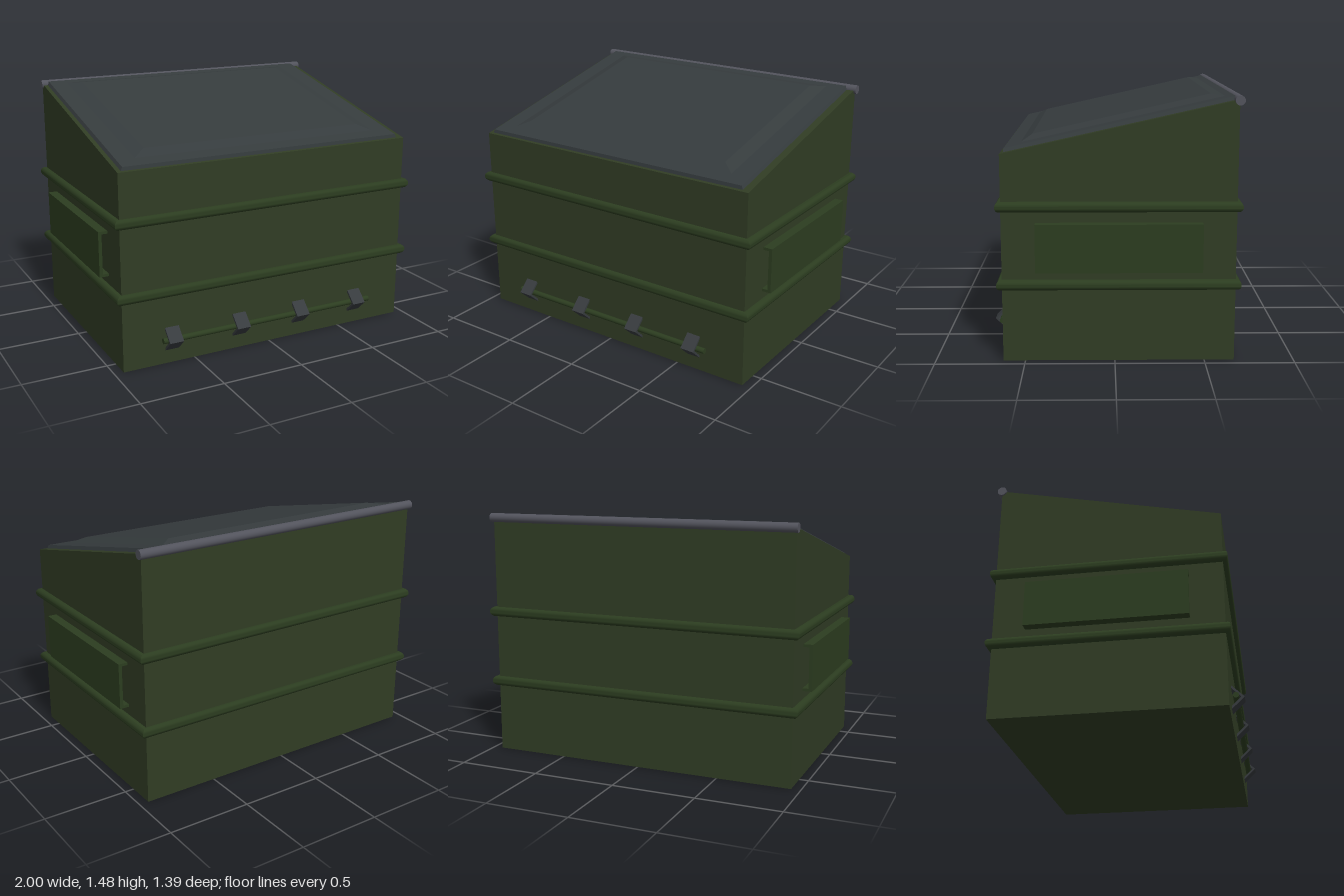
import * as THREE from 'three';
import { toCreasedNormals } from 'three/addons/utils/BufferGeometryUtils.js';

const paint = (name, color) => {
  const m = new THREE.MeshStandardMaterial({ color });
  m.name = name;
  return m;
};

// Extrude a side profile of [z, y] points across x, centred on cx
function sideExtrude(points, width, cx = 0) {
  const shape = new THREE.Shape(points.map(([z, y]) => new THREE.Vector2(z, y)));
  const geo = new THREE.ExtrudeGeometry(shape, { depth: width, bevelEnabled: false });
  return geo.rotateY(-Math.PI / 2).translate(cx + width / 2, 0, 0);
}

// Box whose top rectangle is inset from its bottom one
function taperedSlab(x0, x1, z0, z1, y0, y1, insetX, insetZ) {
  const geo = new THREE.BoxGeometry(x1 - x0, y1 - y0, z1 - z0).toNonIndexed();
  const p = geo.attributes.position;
  for (let i = 0; i < p.count; i++) {
    if (p.getY(i) > 0) {
      p.setX(i, p.getX(i) - Math.sign(p.getX(i)) * insetX);
      p.setZ(i, p.getZ(i) - Math.sign(p.getZ(i)) * insetZ);
    }
  }
  geo.translate((x0 + x1) / 2, (y0 + y1) / 2, (z0 + z1) / 2);
  geo.computeVertexNormals();
  return geo;
}

export function createModel() {
  const green = paint('body green', 0x303c24);
  const trim = paint('trim green', 0x2c3d20);
  const lidGrey = paint('lid grey', 0x353b3d);
  const bracketGrey = paint('bracket grey', 0x373b3e);
  const steel = paint('hinge steel', 0x52535c);

  const model = new THREE.Group();
  model.name = 'wasteContainer';
  const add = (name, geo, mat, parent = model) => {
    const mesh = new THREE.Mesh(geo, mat);
    mesh.name = name;
    parent.add(mesh);
    return mesh;
  };

  const halfW = 0.945, front = 0.623, back = -0.667;
  const frontTop = 1.165, backTop = 1.455;

  // Sloped-top container
  add('body', sideExtrude([[front, 0], [front, frontTop], [back, backTop], [back, 0]], halfW * 2), green);

  // Rounded ribs running around all four walls with mitred corners
  const profile = [[-0.01, -0.028], [0.018, -0.028], [0.029, -0.019], [0.035, -0.007],
    [0.035, 0.007], [0.029, 0.019], [0.018, 0.028], [-0.01, 0.028]];
  const zc = (front + back) / 2, halfD = (front - back) / 2;
  const lathe = new THREE.LatheGeometry(profile.map(([o, y]) => new THREE.Vector2(1 + o, y)), 4, Math.PI / 4);
  const lp = lathe.attributes.position;
  for (let i = 0; i < lp.count; i++) {
    const off = Math.hypot(lp.getX(i), lp.getZ(i)) - 1;
    lp.setX(i, Math.sign(lp.getX(i)) * (halfW + off));
    lp.setZ(i, zc + Math.sign(lp.getZ(i)) * (halfD + off * 0.8));
  }
  const ribGeo = toCreasedNormals(lathe, 0.8);
  for (const y of [0.44, 0.877]) add('rib', ribGeo, trim).position.y = y;

  // Lid, lying on the slope, with a raised centre panel
  const lid = new THREE.Group();
  lid.name = 'lid';
  const slope = (backTop - frontTop) / (front - back);
  lid.position.y = frontTop + front * slope;
  lid.rotation.x = Math.atan(slope);
  model.add(lid);
  add('lidSlab', taperedSlab(-0.92, 0.902, -0.68, 0.622, -0.002, 0.02, 0.01, 0.008), lidGrey, lid);
  add('lidPanel', taperedSlab(-0.805, 0.78, -0.628, 0.53, 0.019, 0.042, 0.08, 0.068), lidGrey, lid);

  // Hinge rod along the top back edge
  const rod = add('hingeRod', new THREE.CylinderGeometry(0.027, 0.027, 1.915, 20), steel);
  rod.rotation.z = Math.PI / 2;
  rod.position.set(0.002, 1.452, back);

  // Open-ended lifting sleeves on both sides
  const z0 = -0.48, z1 = 0.435;
  for (const s of [1, -1]) {
    const sleeve = new THREE.Group();
    sleeve.name = s > 0 ? 'leftSleeve' : 'rightSleeve';
    model.add(sleeve);
    add('sleevePlate', new THREE.BoxGeometry(0.02, 0.27, z1 - z0), trim, sleeve)
      .position.set(s * 0.99, 0.653, (z0 + z1) / 2);
    for (const y of [0.78, 0.526]) {
      add('sleeveFlange', new THREE.BoxGeometry(0.04, 0.016, z1 - z0), trim, sleeve)
        .position.set(s * 0.962, y, (z0 + z1) / 2);
    }
  }

  // Front bar held by bent V brackets
  const bar = add('frontBar', new THREE.CylinderGeometry(0.017, 0.017, 1.416, 16), trim);
  bar.rotation.z = Math.PI / 2;
  bar.position.set(-0.002, 0.153, 0.649);
  const vee = [[0.618, 0.226], [0.695, 0.15], [0.618, 0.076], [0.618, 0.093], [0.677, 0.15], [0.618, 0.209]];
  for (const x of [-0.643, -0.206, 0.203, 0.612]) add('bracket', sideExtrude(vee, 0.086, x), bracketGrey);

  return model;
}
